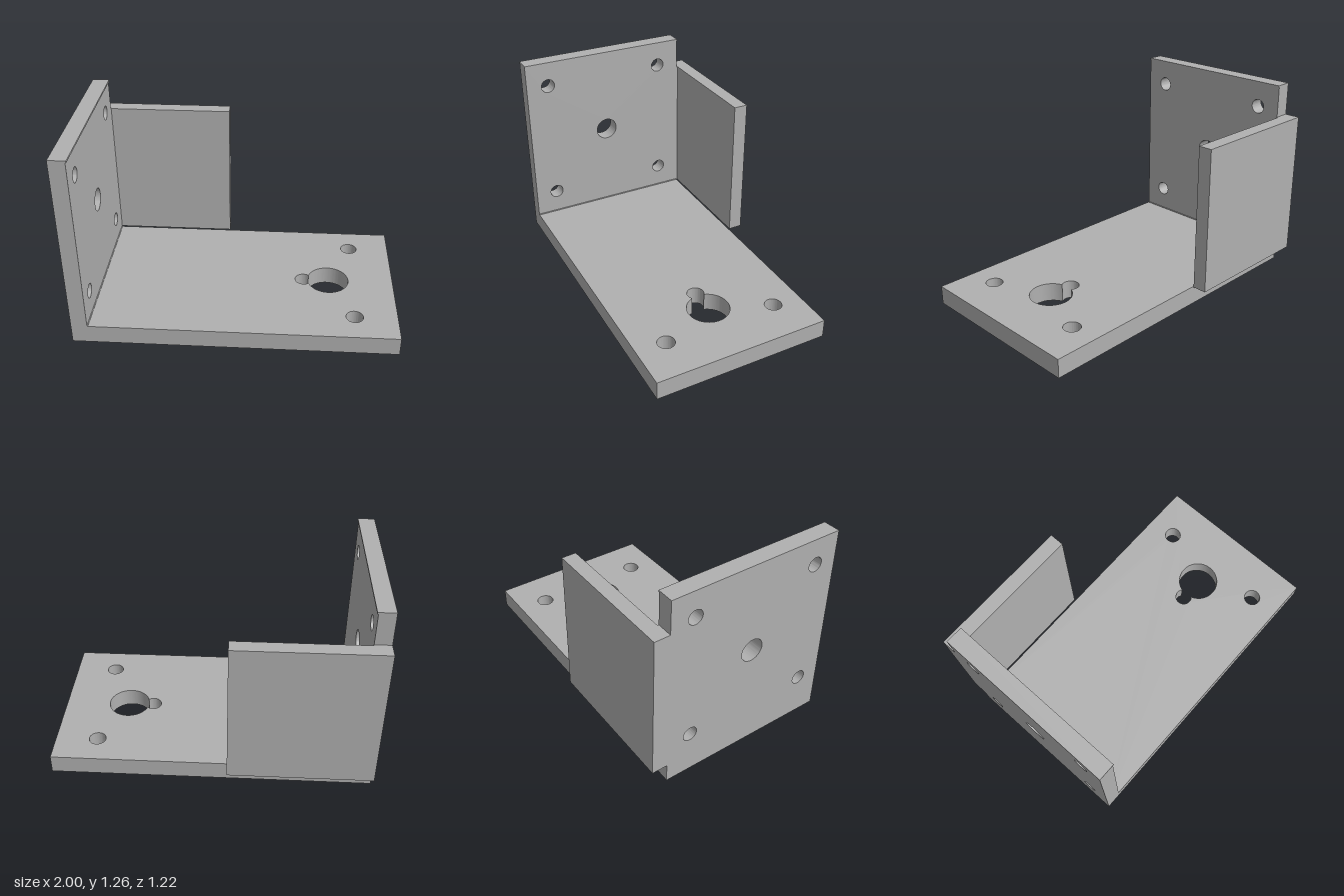
import * as THREE from 'three';
import { toCreasedNormals } from 'three/addons/utils/BufferGeometryUtils.js';

const steel = new THREE.MeshStandardMaterial({ color: 0xb0b0b0 });
steel.name = 'grey metal';

const T = 0.12, FRONT = 0.608, BACK = -0.51, REAR = -0.608, INNER = -0.9;

function outline(points) {
  return new THREE.Shape(points.map(([x, y]) => new THREE.Vector2(x, y)));
}

function circleHole(shape, x, y, r) {
  shape.holes.push(new THREE.Path().absarc(x, y, r, 0, Math.PI * 2, true));
}

function extrude(shape, depth) {
  return new THREE.ExtrudeGeometry(shape, { depth, bevelEnabled: false, curveSegments: 48 });
}

function part(name, geometry) {
  const mesh = new THREE.Mesh(toCreasedNormals(geometry, 0.5), steel);
  mesh.name = name;
  return mesh;
}

function box(name, x0, x1, y0, y1, z0, z1) {
  const g = new THREE.BoxGeometry(x1 - x0, y1 - y0, z1 - z0);
  g.translate((x0 + x1) / 2, (y0 + y1) / 2, (z0 + z1) / 2);
  return part(name, g);
}

// Floor plate with two bolt holes and a keyhole, drawn in x and -z
function basePlate() {
  const s = outline([[-1, -FRONT], [1, -FRONT], [1, -BACK], [-1, -BACK]]);
  for (const z of [-0.322, 0.415]) circleHole(s, 0.733, -z, 0.054);

  // Keyhole: a large circle joined to a small one at their crossing points
  const xBig = 0.578, xSmall = 0.417, R = 0.133, r = 0.054, z = 0.047;
  const d = xBig - xSmall;
  const a = (d * d + R * R - r * r) / (2 * d);
  const h = Math.sqrt(R * R - a * a);
  const big = Math.atan2(h, a), small = Math.atan2(h, d - a);
  const key = new THREE.Path();
  key.absarc(xBig, -z, R, Math.PI - big, -Math.PI + big, true);
  key.absarc(xSmall, -z, r, -small, small - Math.PI * 2, true);
  s.holes.push(key);

  return part('basePlate', extrude(s, T).rotateX(-Math.PI / 2));
}

// Upright plate with five holes and a rear tab, drawn in z and y
function mountingWall() {
  const s = outline([
    [FRONT, T], [FRONT, 1.262], [BACK, 1.262], [BACK, 1.053], [REAR, 1.053], [REAR, T],
  ]);
  for (const z of [0.46, -0.356]) {
    for (const y of [0.279, 1.095]) circleHole(s, z, y, 0.046);
  }
  circleHole(s, 0.052, 0.687, 0.073);
  return part('mountingWall', extrude(s, 0.1).rotateY(-Math.PI / 2).translate(INNER, 0, 0));
}

export function createModel() {
  const model = new THREE.Group();
  model.name = 'angleBracket';
  model.add(
    basePlate(),
    mountingWall(),
    box('sidePlate', INNER, -0.108, T, 1.053, REAR, -0.518),
    // Narrow lips along the wall's inner edges
    box('topLip', INNER, INNER + 0.006, 1.25, 1.262, BACK, FRONT),
    box('bottomLip', INNER, INNER + 0.005, T, T + 0.005, BACK, FRONT),
  );
  return model;
}
